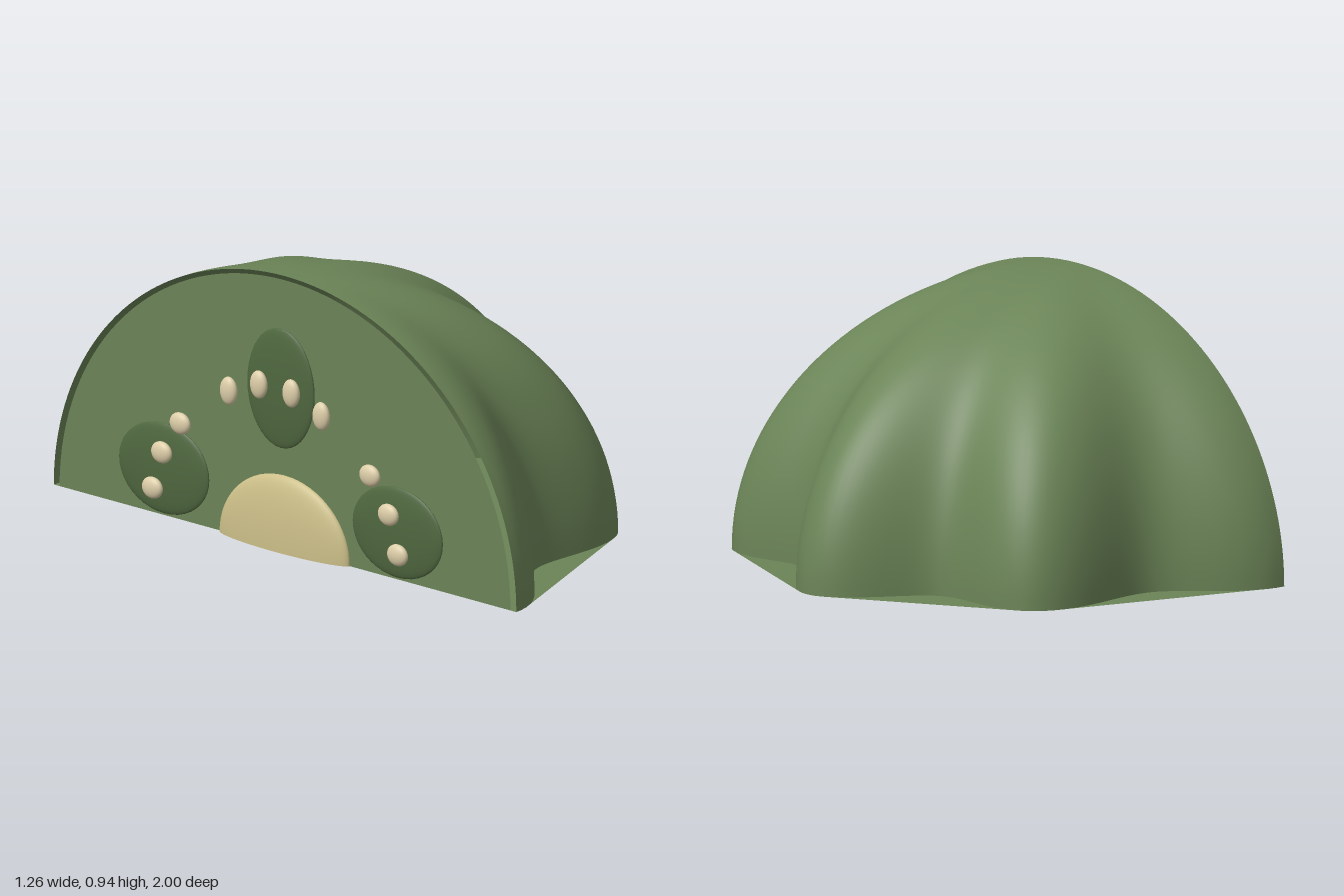
import * as THREE from 'three';

const CUT = -0.56; // x of the cut face
const LENGTH = 1.19, HEIGHT = 0.935;

// Ribbed radius factor: eight ribs per turn, fading out toward the top
const rib = (angle, spread) => 1 - 0.09 * spread * (1 - Math.cos(8 * angle));

// Convex hull of 2D points, counter-clockwise
function hull(points) {
  const sorted = [...points].sort((a, b) => a.x - b.x || a.y - b.y);
  const chain = (list) => {
    const out = [];
    for (const p of list) {
      while (out.length > 1) {
        const a = out[out.length - 2], b = out[out.length - 1];
        if ((b.x - a.x) * (p.y - a.y) - (b.y - a.y) * (p.x - a.x) > 0) break;
        out.pop();
      }
      out.push(p);
    }
    return out.slice(0, -1);
  };
  return [...chain(sorted), ...chain(sorted.reverse())];
}

export function createModel() {
  const model = new THREE.Group();
  const material = (name, color, side = THREE.FrontSide) =>
    Object.assign(new THREE.MeshStandardMaterial({ color, side }), { name });
  const skin = material('green skin', 0x6b8457, THREE.DoubleSide);
  const leaf = material('dark green', 0x4f673f);
  const tan = material('tan', 0xcbbe88);
  const cream = material('cream', 0xdccda8);

  const add = (name, geometry, mat, parent = model) => {
    const mesh = new THREE.Mesh(geometry, mat);
    mesh.name = name;
    parent.add(mesh);
    return mesh;
  };

  // Ribbed quarter dome
  const dome = new THREE.SphereGeometry(1, 128, 40, Math.PI / 2, Math.PI, 0, Math.PI / 2);
  const pos = dome.attributes.position;
  for (let i = 0; i < pos.count; i++) {
    const x = pos.getX(i), y = pos.getY(i), z = pos.getZ(i);
    const s = rib(Math.atan2(z, x), Math.hypot(x, z));
    pos.setXYZ(i, CUT + LENGTH * x * s, HEIGHT * y, z * s);
  }
  dome.computeVertexNormals();
  add('ribbedDome', dome, skin);

  // Flat base spanning the rib tips
  const outline = [];
  for (let i = 0; i <= 128; i++) {
    const a = -Math.PI / 2 + (Math.PI * i) / 128, s = rib(a, 1);
    outline.push(new THREE.Vector2(CUT + LENGTH * Math.cos(a) * s, Math.sin(a) * s));
  }
  const base = new THREE.ShapeGeometry(new THREE.Shape(hull(outline)));
  base.rotateX(Math.PI / 2);
  add('base', base, skin);

  // Flat cut face, slightly inside the dome edge
  const face = new THREE.CircleGeometry(1, 64, 0, Math.PI);
  face.scale(0.975, HEIGHT * 0.985, 1);
  face.rotateY(-Math.PI / 2);
  face.translate(CUT, 0, 0);
  add('cutFace', face, skin);

  // Tan half-oval doorway bulging from the cut face
  const door = new THREE.SphereGeometry(1, 48, 16, 0, Math.PI * 2, 0, Math.PI / 2);
  door.scale(0.05, 0.25, 0.28);
  add('doorway', door, tan).position.x = CUT;

  // Flattened oval pads
  const oval = new THREE.SphereGeometry(1, 32, 20);
  const place = (name, mat, x, y, z, rx, ry, rz) => {
    const mesh = add(name, oval, mat);
    mesh.position.set(x, y, z);
    mesh.scale.set(rx, ry, rz);
  };
  place('topPad', leaf, -0.58, 0.555, 0, 0.02, 0.205, 0.145);
  for (const side of [-1, 1]) {
    place('sidePad', leaf, -0.58, 0.17, side * 0.505, 0.02, 0.155, 0.195);

    // Arc of small seeds
    for (const [y, z] of [[0.56, 0.07], [0.51, 0.2]])
      place('topSeed', cream, -0.61, y, side * z, 0.02, 0.048, 0.034);
    for (const [y, z] of [[0.352, 0.41], [0.235, 0.49], [0.105, 0.53]])
      place('sideSeed', cream, -0.61, y, side * z, 0.02, 0.037, 0.042);
  }
  return model;
}
